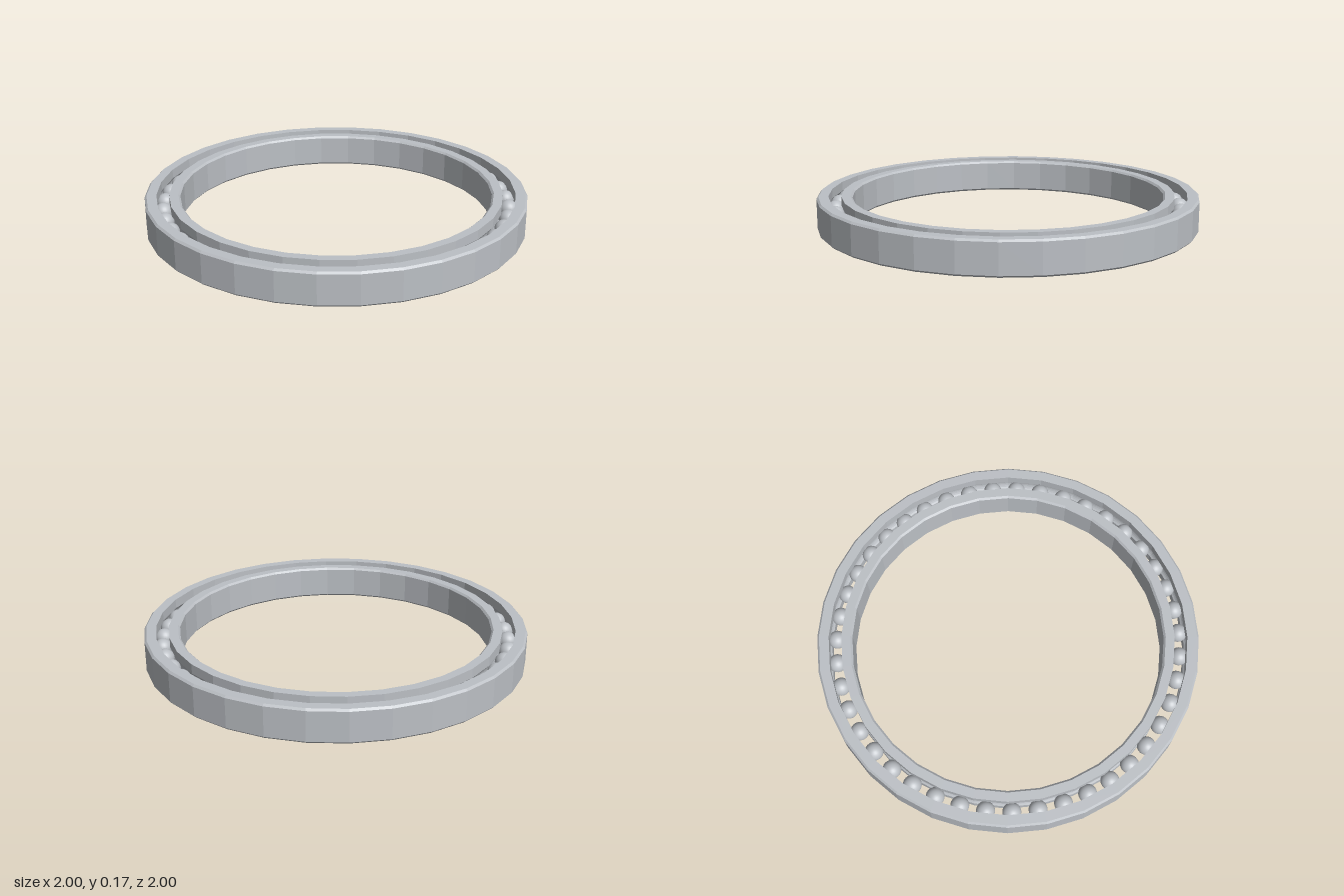
import * as THREE from 'three';

const HEIGHT = 0.175, MID = HEIGHT / 2, PITCH = 0.906, BALL_R = 0.048, BALLS = 43;
const BEVEL = 0.01, GROOVE_R = 0.05, HALF_GAP = 0.033;

// Raceway arc that cups the balls; side +1 faces the outer race, -1 the inner
function groove(side, steps = 8) {
  const a = Math.acos(HALF_GAP / GROOVE_R);
  return Array.from({ length: steps + 1 }, (_, i) => {
    const t = -a + (2 * a * i) / steps;
    return [PITCH + side * GROOVE_R * Math.cos(t), MID + side * GROOVE_R * Math.sin(t)];
  });
}

// Closed cross-section (counter-clockwise) turned into a faceted ring
function race(name, profile, material) {
  const pts = [...profile, profile[0]].map(([r, y]) => new THREE.Vector2(r, y));
  const mesh = new THREE.Mesh(new THREE.LatheGeometry(pts, 32).toNonIndexed(), material);
  mesh.geometry.computeVertexNormals();
  mesh.name = name;
  return mesh;
}

export function createModel() {
  const group = new THREE.Group();
  group.name = 'ballBearing';
  const steel = new THREE.MeshStandardMaterial({ color: 0xbcc0c5 });
  steel.name = 'steel';

  // Outer race: bevelled outside, grooved inside
  const ro = PITCH + HALF_GAP;
  group.add(race('outerRace', [
    [ro, 0], [1 - BEVEL, 0], [1, BEVEL], [1, HEIGHT - BEVEL], [1 - BEVEL, HEIGHT],
    [ro, HEIGHT], ...groove(1).reverse(),
  ], steel));

  // Inner race: grooved outside, bevelled bore
  const ri = PITCH - HALF_GAP, bore = 0.816;
  group.add(race('innerRace', [
    [bore + BEVEL, 0], [ri, 0], ...groove(-1).reverse(), [ri, HEIGHT],
    [bore + BEVEL, HEIGHT], [bore, HEIGHT - BEVEL], [bore, BEVEL],
  ], steel));

  // Balls evenly spaced in the raceway
  const balls = new THREE.Group();
  balls.name = 'balls';
  const ballGeometry = new THREE.SphereGeometry(BALL_R, 24, 16);
  for (let i = 0; i < BALLS; i++) {
    const a = (i / BALLS) * Math.PI * 2;
    const ball = new THREE.Mesh(ballGeometry, steel);
    ball.name = 'ball';
    ball.position.set(PITCH * Math.cos(a), MID, PITCH * Math.sin(a));
    balls.add(ball);
  }
  group.add(balls);
  return group;
}
